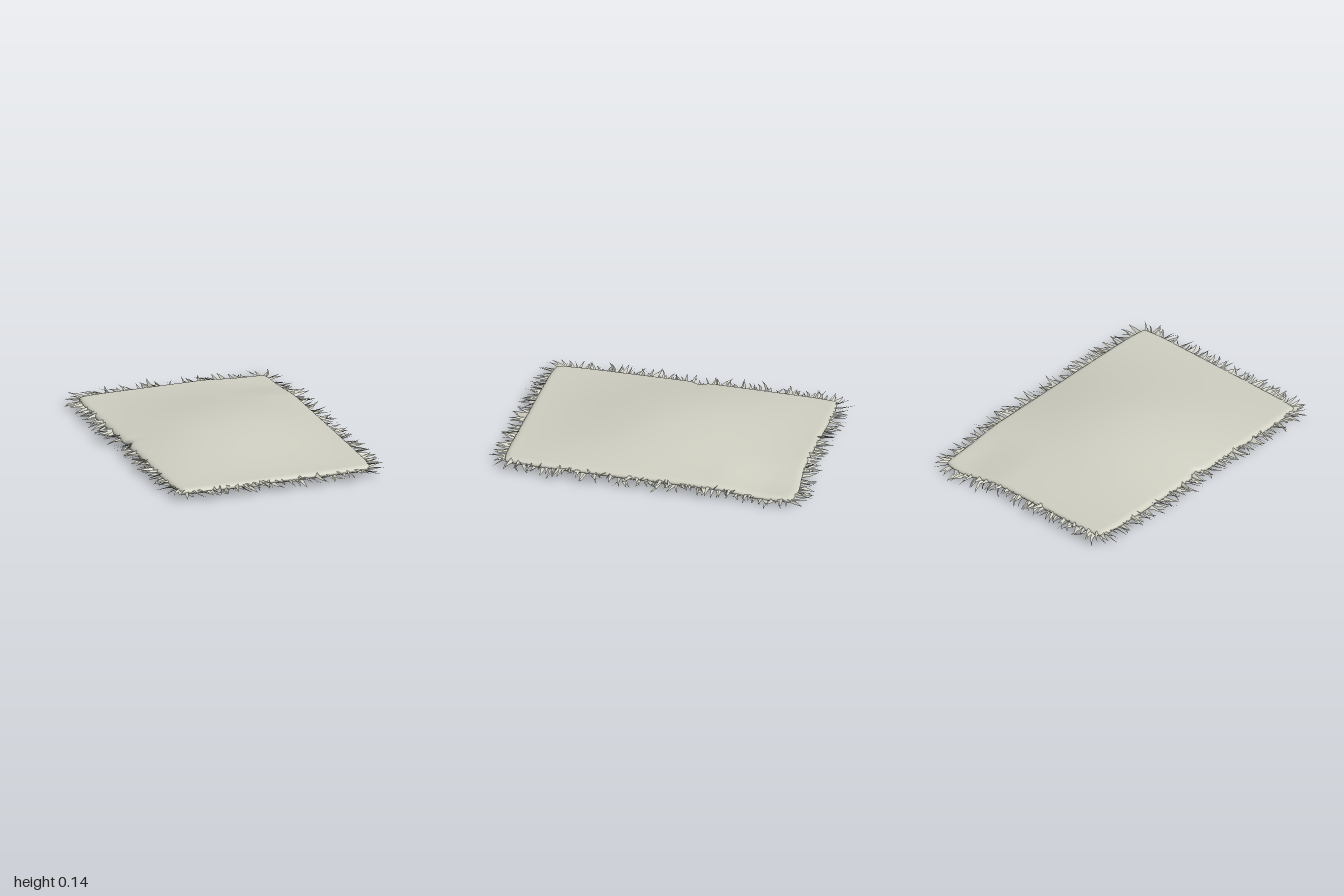
import * as THREE from 'three';
import { mergeVertices, mergeGeometries } from 'three/addons/utils/BufferGeometryUtils.js';

const HALF_X = 0.615, HALF_Z = 0.875, EDGE_Y = 0.05;
const smooth = THREE.MathUtils.smoothstep;

// Small seeded generator for the irregular fringe
let seed = 7;
const rand = (a, b) => {
  seed = (seed * 16807) % 2147483647;
  return a + (b - a) * (seed / 2147483647);
};

// The back left corner hangs a little lower
const sag = (x, z) => 0.028 * smooth(x, 0.15, 0.5) * smooth(-z, 0.4, 0.75);

// Outline of the cloth: rounded corners, a pinch on one side, a bulge at the back
function plan(u, v) {
  let x = HALF_X * u * (1 - 0.03 * v ** 10);
  let z = HALF_Z * v * (1 - 0.02 * u ** 10);
  x += 0.04 * Math.exp(-(((z + 0.02) / 0.03) ** 2)) * Math.max(0, -u) ** 8;
  z -= 0.035 * Math.exp(-(((x - 0.52) / 0.2) ** 2)) * Math.max(0, -v) ** 4;
  return [x, z];
}

// Padded body: domed top and flat underside joined by a rounded rim
function clothGeometry() {
  const NX = 56, NZ = 80, pos = [], index = [];
  for (const side of [1, -1]) {
    const start = pos.length / 3;
    for (let i = 0; i <= NX; i++) {
      for (let j = 0; j <= NZ; j++) {
        const u = Math.sin((i / NX - 0.5) * Math.PI), v = Math.sin((j / NZ - 0.5) * Math.PI);
        const [x, z] = plan(u, v);
        const inset = Math.min((1 - Math.abs(u)) * HALF_X, (1 - Math.abs(v)) * HALF_Z);
        const k = 1 - Math.min(inset / 0.035, 1);
        let y = EDGE_Y + side * 0.02 * Math.sqrt(1 - k * k) - sag(x, z);
        if (side > 0) {
          y += 0.075 * Math.cos(u * Math.PI / 2) * (0.5 + 0.5 * Math.cos(v * Math.PI));
        }
        pos.push(x, y, z);
      }
    }
    for (let i = 0; i < NX; i++) {
      for (let j = 0; j < NZ; j++) {
        const a = start + i * (NZ + 1) + j, b = a + 1, c = a + NZ + 1, d = c + 1;
        if (side > 0) index.push(a, b, c, b, d, c);
        else index.push(a, c, b, b, c, d);
      }
    }
  }
  let g = new THREE.BufferGeometry();
  g.setAttribute('position', new THREE.Float32BufferAttribute(pos, 3));
  g.setIndex(index);
  g = mergeVertices(g, 1e-5);
  g.computeVertexNormals();
  return g;
}

// One curved, tapering tuft growing outwards from a rim point
function tuftGeometry(u, v) {
  const [x, z] = plan(u, v);
  const out = new THREE.Vector3(Math.sign(u) * Math.abs(u) ** 24, 0, Math.sign(v) * Math.abs(v) ** 24).normalize();
  const along = new THREE.Vector3(-out.z, 0, out.x);
  const base = new THREE.Vector3(x, EDGE_Y - sag(x, z) + rand(-0.012, 0.012), z).addScaledVector(out, -0.012);
  const length = rand(0.07, 0.115), lean = rand(-0.055, 0.025), sweep = rand(-0.015, 0.015);
  const rise = rand(-0.022, 0.022), roll = rand(-0.9, 0.9), half = rand(0.009, 0.015);
  const across = along.clone().multiplyScalar(Math.cos(roll)).add(new THREE.Vector3(0, Math.sin(roll), 0));
  const STEPS = 5, pos = [], index = [], p = new THREE.Vector3();
  for (let s = 0; s <= STEPS; s++) {
    const t = s / STEPS, w = half * (1 - t) ** 0.75;
    p.copy(base).addScaledVector(out, length * t).addScaledVector(along, lean * t * t + sweep * t);
    p.y += rise * t;
    for (const e of [-w, w]) pos.push(p.x + across.x * e, p.y + across.y * e, p.z + across.z * e);
    if (s < STEPS) {
      const a = s * 2;
      index.push(a, a + 1, a + 2, a + 1, a + 3, a + 2);
    }
  }
  const g = new THREE.BufferGeometry();
  g.setAttribute('position', new THREE.Float32BufferAttribute(pos, 3));
  g.setIndex(index);
  g.computeVertexNormals();
  return g;
}

// A row of tufts along one edge of the cloth
function fringeGeometry(edge, length) {
  const count = Math.round(length / 0.0185), tufts = [];
  for (let i = 0; i < count; i++) {
    const t = THREE.MathUtils.clamp(((i + 0.5 + rand(-0.45, 0.45)) / count) * 2 - 1, -1, 1);
    tufts.push(tuftGeometry(...edge(t)));
  }
  return mergeGeometries(tufts);
}

export function createModel() {
  seed = 7;
  const group = new THREE.Group();
  group.name = 'fringedRug';
  const wool = new THREE.MeshStandardMaterial({ color: 0xcfcfc2 });
  wool.name = 'pale wool';
  const tuftWool = wool;
  tuftWool.side = THREE.DoubleSide;

  const add = (name, geometry) => {
    const mesh = new THREE.Mesh(geometry, wool);
    mesh.name = name;
    group.add(mesh);
  };

  add('paddedCloth', clothGeometry());
  add('frontFringe', fringeGeometry((t) => [t, 1], HALF_X * 2));
  add('backFringe', fringeGeometry((t) => [t, -1], HALF_X * 2));
  add('leftFringe', fringeGeometry((t) => [1, t], HALF_Z * 2));
  add('rightFringe', fringeGeometry((t) => [-1, t], HALF_Z * 2));
  return group;
}
